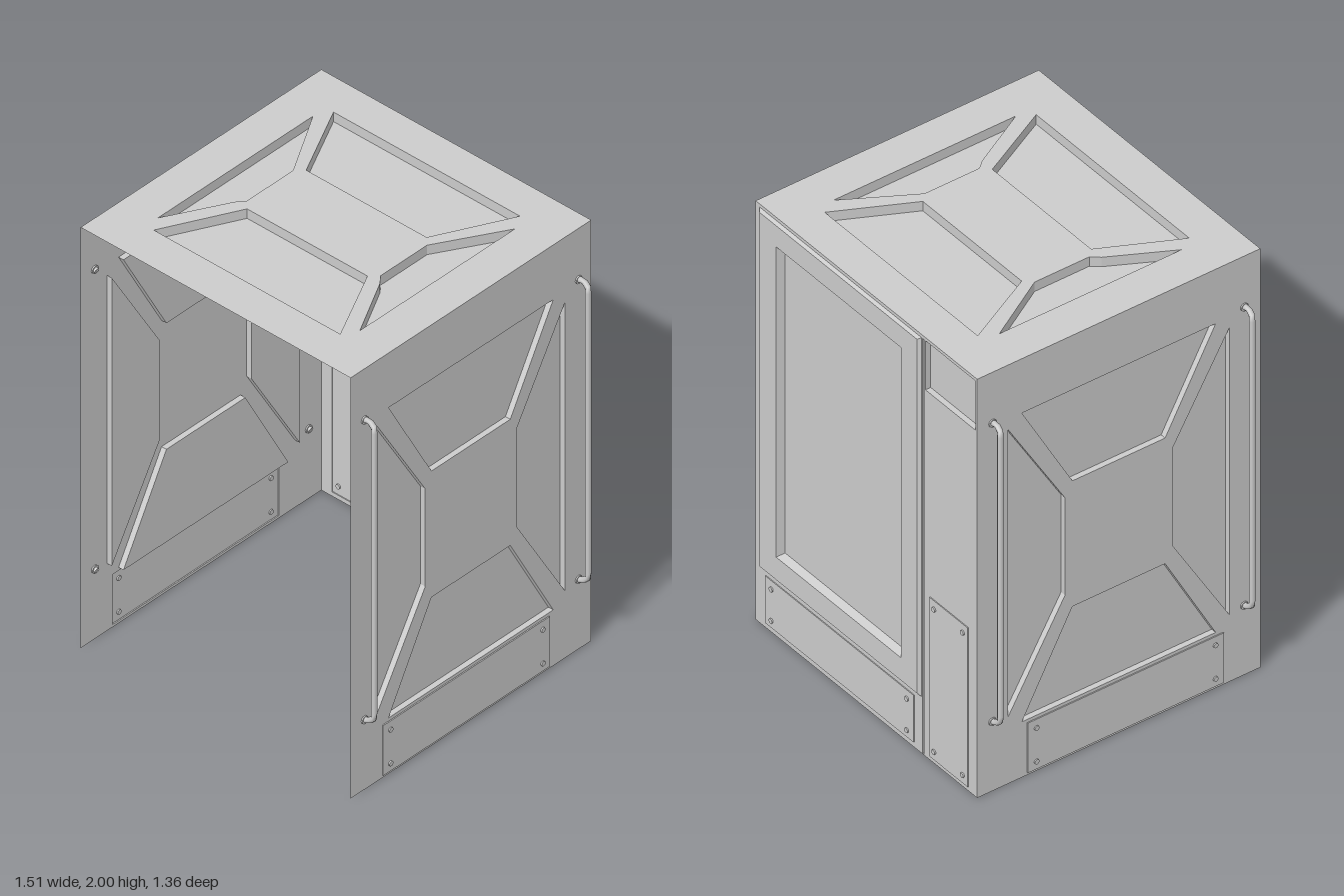
import * as THREE from 'three';

const material = new THREE.MeshStandardMaterial({ color: 0xcccccc, side: THREE.DoubleSide });
const HALF_W = 0.695, FRONT = 0.677, BACK = -0.667, HEIGHT = 2;

const rect = (x0, y0, x1, y1) => [[x0, y0], [x1, y0], [x1, y1], [x0, y1]];
const flip = (pts, sx, sy) => pts.map(([x, y]) => [x * sx, y * sy]);
const toVec = (pts) => pts.map(([x, y]) => new THREE.Vector2(x, y));

function add(group, geometry, name) {
  const mesh = new THREE.Mesh(geometry, material);
  mesh.name = name;
  group.add(mesh);
  return mesh;
}

// Straight or sloped rim joining a pocket's edge to its floor
function rim(edge, floor, z0, z1) {
  const pos = [];
  edge.forEach((a, i) => {
    const j = (i + 1) % edge.length;
    const b = edge[j], c = floor[j], d = floor[i];
    pos.push(...a, z0, ...b, z0, ...c, z1, ...a, z0, ...c, z1, ...d, z1);
  });
  const geo = new THREE.BufferGeometry();
  geo.setAttribute('position', new THREE.Float32BufferAttribute(pos, 3));
  geo.computeVertexNormals();
  return geo;
}

// Pressed sheet: a flat outline with pockets sunk (depth < 0) or raised (depth > 0), nested as needed
function sheet(group, name, outline, pockets = [], z = 0) {
  const shape = new THREE.Shape(toVec(outline));
  pockets.forEach((p) => shape.holes.push(new THREE.Path(toVec(p.edge))));
  add(group, new THREE.ShapeGeometry(shape).translate(0, 0, z), name);
  for (const p of pockets) {
    const floor = p.floor || p.edge;
    add(group, rim(p.edge, floor, z, z + p.depth), p.name + 'Rim');
    sheet(group, p.name, floor, p.pockets, z + p.depth);
  }
}

// Bolt heads in the four corners of a cover plate
function bolts(group, x0, y0, x1, y1, z) {
  for (const [x, y] of rect(x0, y0, x1, y1)) {
    const bolt = add(group, new THREE.CylinderGeometry(0.011, 0.011, 0.012, 10), 'bolt');
    bolt.rotation.x = Math.PI / 2;
    bolt.position.set(x, y, z);
  }
}

// Bent grab bar, standing out from a side wall
function handle(group, u) {
  const points = [[1.755, -0.012], [1.768, 0.027], [1.745, 0.05], [0.365, 0.05], [0.342, 0.027], [0.33, -0.012]]
    .map(([y, z]) => new THREE.Vector3(u, y, z));
  const path = new THREE.CurvePath();
  for (let i = 1; i < points.length; i++) path.add(new THREE.LineCurve3(points[i - 1], points[i]));
  add(group, new THREE.TubeGeometry(path, 64, 0.0125, 8), 'handle');
  for (const y of [1.758, 0.333]) {
    const foot = add(group, new THREE.CylinderGeometry(0.018, 0.018, 0.012, 12), 'handleFoot');
    foot.rotation.x = Math.PI / 2;
    foot.position.set(u, y, 0);
  }
}

// Side wall: s = 1 for left (+x), -1 for right (-x); plans are given as (z, y)
function sideWall(s) {
  const wall = new THREE.Group();
  wall.name = s > 0 ? 'leftWall' : 'rightWall';
  const plan = (pts) => pts.map(([z, y]) => [-s * z, y]);
  const zMid = 0.005;
  const sunk = (name, pts) => ({ name, depth: -0.025, edge: plan(pts.map(([z, y]) => [z + zMid, y])) });
  const upright = [[0.525, 0.32], [0.525, 1.69], [0.255, 1.24], [0.255, 0.775]];
  sheet(wall, 'sidePanel', plan(rect(BACK, 0, FRONT, HEIGHT)), [
    sunk('upperPocket', [[-0.46, 1.74], [0.46, 1.74], [0.22, 1.305], [-0.22, 1.305]]),
    sunk('lowerPocket', [[-0.46, 0.265], [0.46, 0.265], [0.22, 0.705], [-0.22, 0.705]]),
    sunk('frontPocket', upright),
    sunk('rearPocket', flip(upright, -1, 1)),
    { name: 'kickPlate', depth: 0.005, edge: plan(rect(-0.43, 0.012, 0.5, 0.25)) },
  ]);
  bolts(wall, -s * -0.39, 0.05, -s * 0.46, 0.21, 0.005);
  for (const z of [-0.595, 0.6]) handle(wall, -s * z);
  wall.rotation.y = s * Math.PI / 2;
  wall.position.x = s * HALF_W;
  return wall;
}

// Lid with four pressed pockets around a flat centre
function topPanel() {
  const top = new THREE.Group();
  top.name = 'top';
  const sunk = (name, edge) => ({ name, depth: -0.045, edge });
  const long = [[-0.48, 0.502], [0.48, 0.502], [0.31, 0.165], [-0.31, 0.165]];
  const short = [[0.52, 0.43], [0.345, 0.13], [0.345, -0.13], [0.375, -0.165], [0.52, -0.435]];
  sheet(top, 'topPanel', rect(-HALF_W, -FRONT, HALF_W, -BACK), [
    sunk('rearPocket', long),
    sunk('frontPocket', flip(long, 1, -1)),
    sunk('leftPocket', short),
    sunk('rightPocket', flip(short, -1, 1)),
  ]);
  top.rotation.x = -Math.PI / 2;
  top.position.y = HEIGHT;
  return top;
}

// Back wall: raised door with a sunk window, beside a narrow service column
function backWall() {
  const back = new THREE.Group();
  back.name = 'backWall';
  const box = (x0, y0, x1, y1) => rect(-x0, y0, -x1, y1);
  sheet(back, 'backPanel', box(-HALF_W, 0, HALF_W, HEIGHT), [
    {
      name: 'door', depth: 0.011,
      edge: box(-0.345, 0.27, 0.67, 1.985), floor: box(-0.333, 0.282, 0.658, 1.973),
      pockets: [{
        name: 'doorWindow', depth: -0.035,
        edge: box(-0.232, 0.39, 0.552, 1.872), floor: box(-0.222, 0.4, 0.542, 1.862),
      }],
    },
    { name: 'columnGroove', depth: -0.012, edge: box(-0.362, 0.004, -0.352, 1.985) },
    { name: 'columnPocket', depth: -0.025, edge: box(-0.685, 1.75, -0.37, 1.985) },
    { name: 'columnCover', depth: 0.004, edge: box(-0.64, 0.02, -0.4, 0.78) },
    { name: 'lowerCover', depth: 0.004, edge: box(-0.3, 0.025, 0.63, 0.25) },
  ]);
  bolts(back, 0.61, 0.06, 0.43, 0.74, 0.004);
  bolts(back, 0.26, 0.06, -0.59, 0.21, 0.004);
  back.rotation.y = Math.PI;
  back.position.z = BACK;
  return back;
}

export function createModel() {
  const model = new THREE.Group();
  model.name = 'openCabinet';
  model.add(topPanel(), backWall(), sideWall(1), sideWall(-1));
  return model;
}
